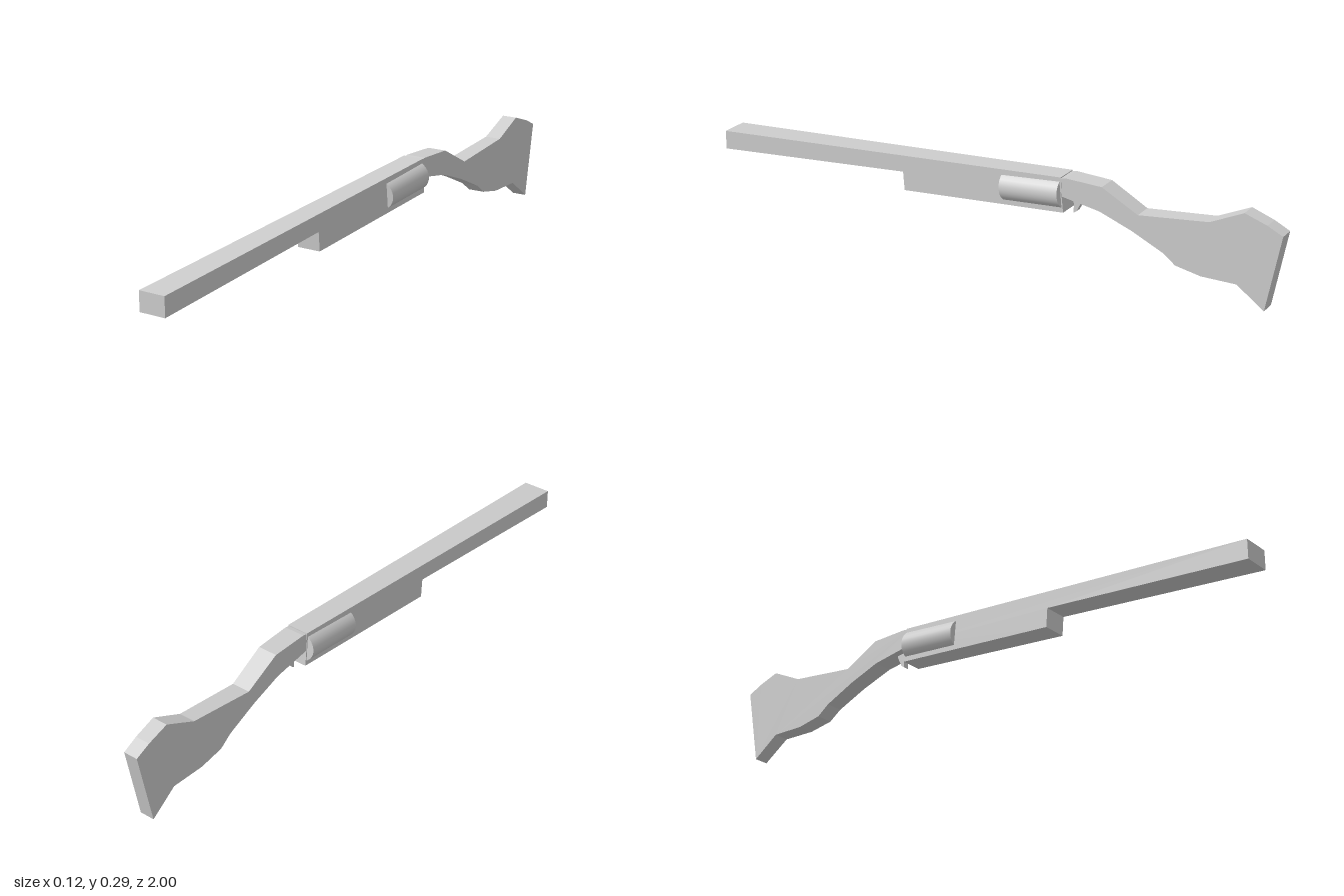
import * as THREE from 'three';

const mat = new THREE.MeshStandardMaterial({ color: 0xcccccc, flatShading: true });
const smooth = new THREE.MeshStandardMaterial({ color: 0xcccccc });

// Side profile of [z, y] points, extruded across x; halfWidth(z) gives the taper.
function profilePart(name, points, halfWidth) {
  const shape = new THREE.Shape(points.map(([z, y]) => new THREE.Vector2(z, y)));
  const geo = new THREE.ExtrudeGeometry(shape, { depth: 2, bevelEnabled: false });
  geo.translate(0, 0, -1).rotateY(-Math.PI / 2);
  const p = geo.attributes.position;
  for (let i = 0; i < p.count; i++) p.setX(i, Math.sign(p.getX(i)) * halfWidth(p.getZ(i)));
  geo.computeVertexNormals();
  const mesh = new THREE.Mesh(geo, mat);
  mesh.name = name;
  return mesh;
}

const lerp = THREE.MathUtils.lerp;
const barrelWidth = z => lerp(0.036, 0.0455, (z + 0.29) / 1.29);
const stockWidth = z => lerp(0.024, 0.0345, (z + 1) / 0.72);

export function createModel() {
  const model = new THREE.Group();
  model.name = 'longGun';

  // Square tapered barrel with the deeper fore-end under its rear half
  model.add(profilePart('barrelAndForeEnd', [
    [1, 0.102], [1, 0.165], [-0.28, 0.275], [-0.284, 0.215], [-0.29, 0.162],
    [0.285, 0.109], [0.29, 0.171],
  ], barrelWidth));

  // Stock: wrist, comb and flared butt
  model.add(profilePart('stock', [
    [-0.27, 0.27], [-0.295, 0.275], [-0.418, 0.273], [-0.54, 0.21], [-0.77, 0.24],
    [-0.878, 0.293], [-0.95, 0.27], [-1, 0.247], [-0.955, 0], [-0.865, 0.064],
    [-0.75, 0.062], [-0.667, 0.077], [-0.625, 0.108], [-0.52, 0.155],
    [-0.412, 0.193], [-0.27, 0.215],
  ], stockWidth));

  // Round drum bulging from both sides of the receiver
  const drumGeo = new THREE.CylinderGeometry(0.06, 0.06, 0.205, 32);
  drumGeo.rotateX(Math.PI / 2).scale(1, 0.87, 1);
  const drum = new THREE.Mesh(drumGeo, smooth);
  drum.name = 'drum';
  drum.position.set(0, 0.209, -0.178);
  drum.rotation.x = 0.1;
  model.add(drum);

  // Small hooked trigger
  model.add(profilePart('trigger', [
    [-0.302, 0.22], [-0.312, 0.188], [-0.312, 0.158], [-0.322, 0.165],
    [-0.337, 0.196], [-0.34, 0.21],
  ], () => 0.01));

  return model;
}
